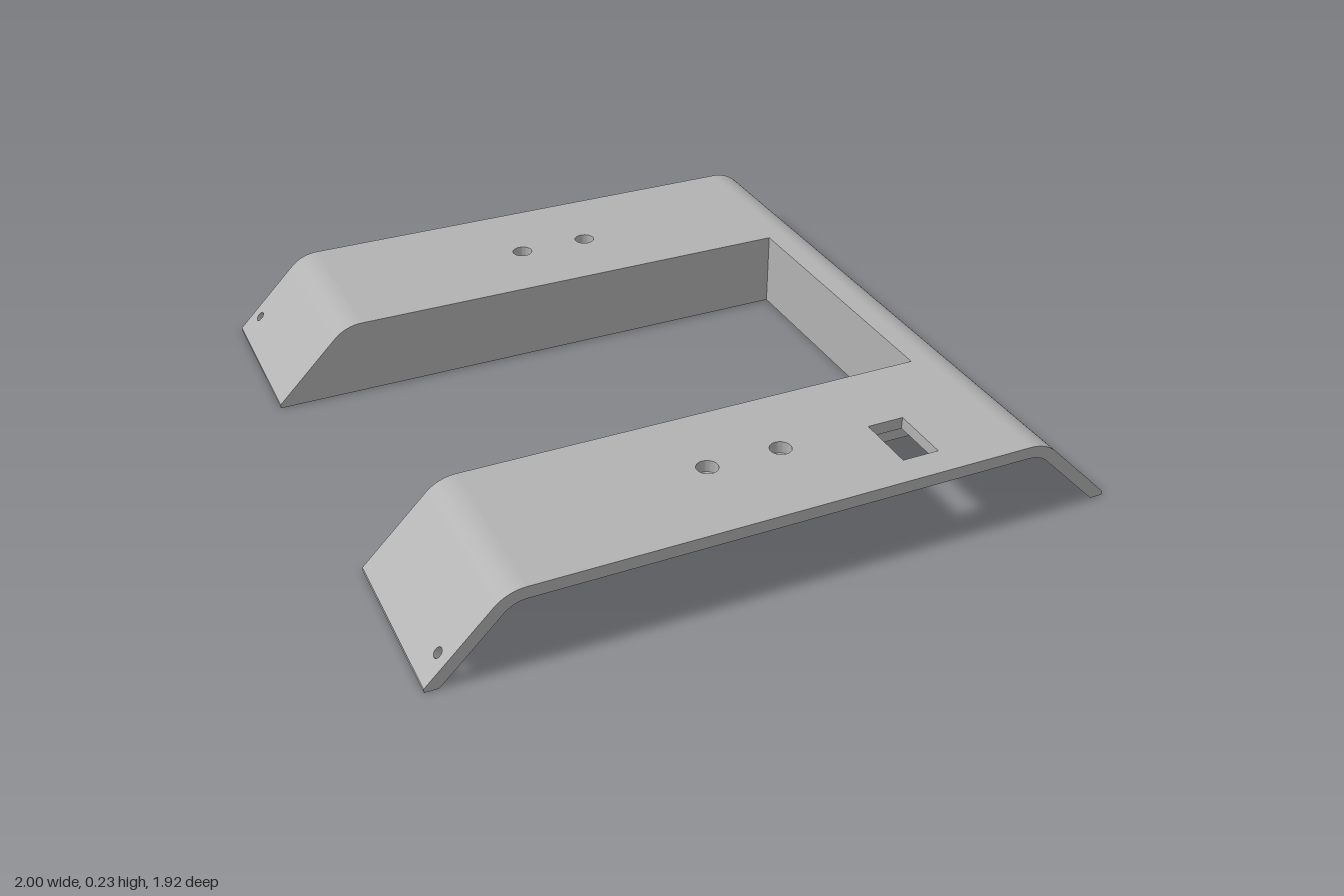
import * as THREE from 'three';
import { toCreasedNormals } from 'three/addons/utils/BufferGeometryUtils.js';

const H = 0.235;       // overall height
const T = 0.036;       // sheet thickness
const R = 0.125;       // outer bend radius
const F = 0.725;       // half length of the flat top
const D = 0.96;        // half depth
const NOTCH_X = 0.675; // end of the notch
const NOTCH_Z = 0.44;  // half width of the notch
const WALL = 0.038;    // inner wall thickness
const Q = Math.SQRT1_2;
const BOSS_X = 0.11, BOSS_Z = 0.685, BOSS_HOLE = 0.031;

export function createModel() {
  const group = new THREE.Group();
  const grey = new THREE.MeshStandardMaterial({ color: 0xb3b3b3 });
  grey.name = 'grey';

  const add = (name, geometry, parent = group) => {
    const mesh = new THREE.Mesh(toCreasedNormals(geometry, 0.5), grey);
    mesh.name = name;
    parent.add(mesh);
    return mesh;
  };
  const polygon = (points) => new THREE.Shape(points.map(([x, y]) => new THREE.Vector2(x, y)));
  const circle = (x, y, r) => new THREE.Path().absarc(x, y, r, 0, Math.PI * 2, true);
  const extrude = (shape, depth) =>
    new THREE.ExtrudeGeometry(shape, { depth, bevelEnabled: false, curveSegments: 16 });

  // Flat C-shaped top with boss holes and a rectangular window
  const top = polygon([
    [-F, D], [-F, NOTCH_Z], [NOTCH_X, NOTCH_Z], [NOTCH_X, -NOTCH_Z],
    [-F, -NOTCH_Z], [-F, -D], [F, -D], [F, D],
  ]);
  for (const x of [-BOSS_X, BOSS_X])
    for (const z of [-BOSS_Z, BOSS_Z]) top.holes.push(circle(x, -z, BOSS_HOLE));
  top.holes.push(polygon([[0.38, -0.87], [0.38, -0.69], [0.49, -0.69], [0.49, -0.87]]));
  add('topPlate', extrude(top, T).rotateX(-Math.PI / 2).translate(0, H - T, 0));

  // Blind cups hanging below the top
  const cup = [
    [0, 0.158], [0.048, 0.158], [0.048, H - T], [BOSS_HOLE, H - T],
    [0.024, 0.19], [0.024, 0.172], [0, 0.172],
  ].map(([x, y]) => new THREE.Vector2(x, y));
  for (const x of [-BOSS_X, BOSS_X])
    for (const z of [-BOSS_Z, BOSS_Z])
      add('boss', new THREE.LatheGeometry(cup, 32)).position.set(x, 0, z);

  // Rounded bend, sloping leg with screw holes and foot, between two depths
  const inner = R - T;
  const slopeStart = { x: F + inner * Q, y: H - R + inner * Q };
  const outerLength = (1 - F - R * Q) / Q;
  const innerLength = slopeStart.y / Q;
  const footX = slopeStart.x + slopeStart.y;
  const tipY = F + H - R + 2 * R * Q - 1;

  function addSide(name, z0, z1, holeZs, parent) {
    const bend = new THREE.Shape();
    bend.absarc(F, H - R, R, Math.PI / 4, Math.PI / 2, false);
    bend.absarc(F, H - R, inner, Math.PI / 2, Math.PI / 4, true);
    add(name + 'Bend', extrude(bend, z1 - z0).translate(0, 0, z0), parent);

    const slope = polygon([[0, -z1], [outerLength, -z1], [outerLength, -z0], [0, -z0]]);
    for (const z of holeZs) slope.holes.push(circle(0.185, -z, 0.015));
    const leg = extrude(slope, T);
    const p = leg.attributes.position;
    for (let i = 0; i < p.count; i++) // bevel the lower end
      if (p.getX(i) > outerLength - 0.001 && p.getZ(i) < T / 2) p.setX(i, innerLength);
    leg.applyMatrix4(new THREE.Matrix4().makeBasis(
      new THREE.Vector3(Q, -Q, 0), new THREE.Vector3(0, 0, -1), new THREE.Vector3(Q, Q, 0),
    ).setPosition(slopeStart.x, slopeStart.y, 0));
    add(name + 'Slope', leg, parent);

    const foot = polygon([[footX, 0], [1, 0], [1, tipY]]);
    add(name + 'Foot', extrude(foot, z1 - z0).translate(0, 0, z0), parent);
  }

  addSide('leftLeg', -D, D, [-0.91, 0.91], group);
  const rightLegs = new THREE.Group();
  rightLegs.name = 'rightLegs';
  rightLegs.rotation.y = Math.PI;
  group.add(rightLegs);
  addSide('rightFrontLeg', -D, -NOTCH_Z, [-0.91], rightLegs);
  addSide('rightBackLeg', NOTCH_Z, D, [0.91], rightLegs);

  // Walls that follow the underside along the notch
  const wallEnd = NOTCH_X + WALL;
  const side = new THREE.Shape();
  side.moveTo(-footX, 0);
  side.lineTo(-slopeStart.x, slopeStart.y);
  side.absarc(-F, H - R, inner, Math.PI * 0.75, Math.PI / 2, true);
  side.lineTo(wallEnd, H - T);
  side.lineTo(wallEnd, 0);
  side.closePath();
  for (const z of [NOTCH_Z, -NOTCH_Z - WALL])
    add('notchSideWall', extrude(side, WALL)).position.z = z;
  add('notchEndWall', new THREE.BoxGeometry(WALL, H - T, NOTCH_Z * 2))
    .position.set(NOTCH_X + WALL / 2, (H - T) / 2, 0);

  return group;
}
